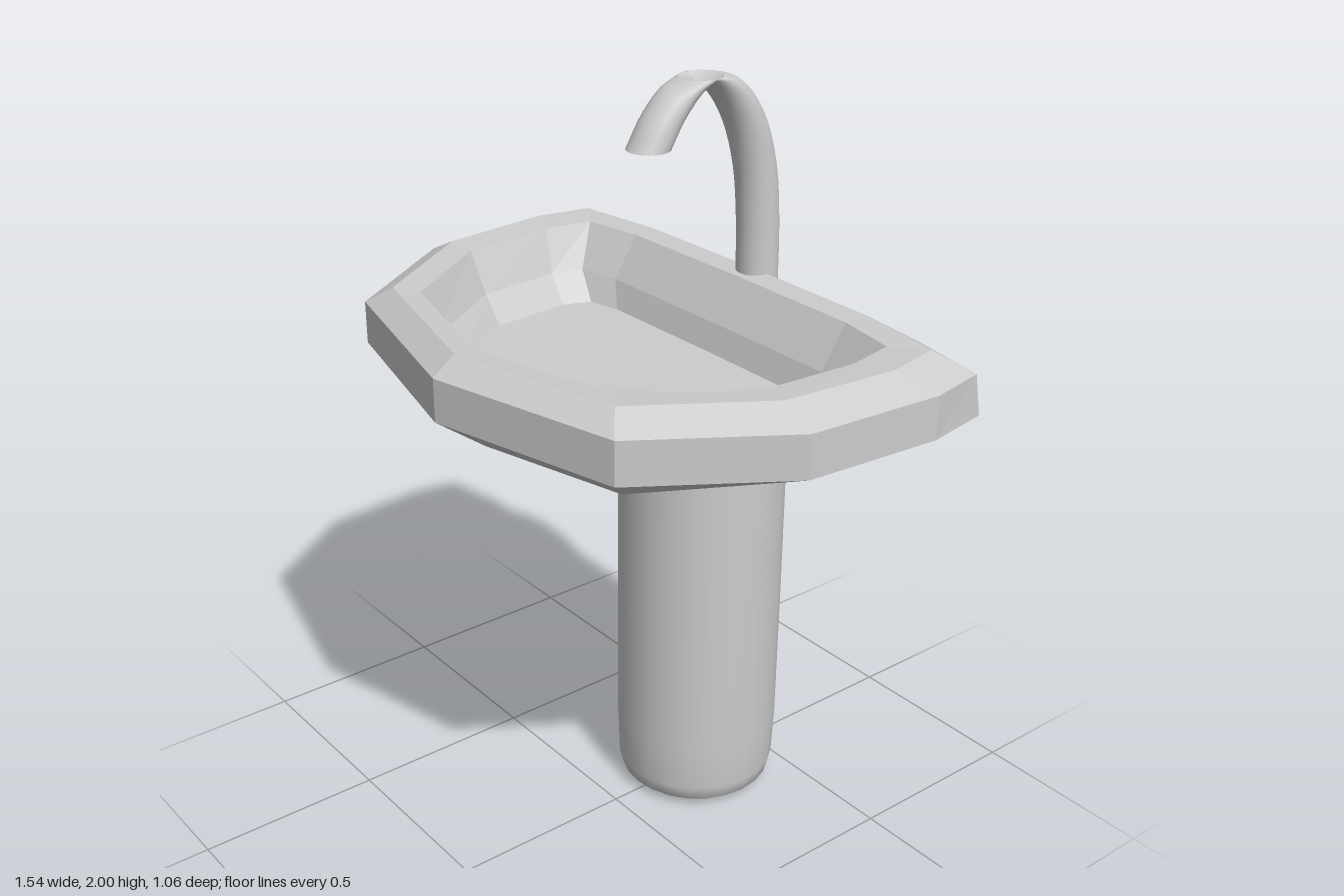
import * as THREE from 'three';

const grey = (flatShading) =>
  new THREE.MeshStandardMaterial({ color: 0xcccccc, flatShading, side: THREE.DoubleSide });

// Skin a stack of equal-length closed rings, counterclockwise seen from above.
function skin(rings) {
  const n = rings[0].length;
  const index = [];
  for (let i = 0; i < rings.length - 1; i++) {
    for (let j = 0; j < n; j++) {
      const k = (j + 1) % n;
      const a = i * n + j, b = i * n + k, c = b + n, d = a + n;
      index.push(a, b, c, a, c, d);
    }
  }
  const geo = new THREE.BufferGeometry();
  geo.setAttribute('position', new THREE.Float32BufferAttribute(rings.flat(2), 3));
  geo.setIndex(index);
  geo.computeVertexNormals();
  return geo;
}

// Half outline [x, z] from front centre to back centre, mirrored to a full ring.
function basinRing(y, half) {
  const pts = half.map(([x, z, dy = 0]) => [x, y + dy, z]);
  const mirrored = pts.slice(1, -1).reverse().map(([x, py, z]) => [-x, py, z]);
  return [...pts, ...mirrored];
}

const centre = (y, z) => basinRing(y, Array.from({ length: 7 }, () => [0, z]));

function basin() {
  const rings = [
    // underside
    centre(1.178, -0.1),
    basinRing(1.19, [[0, 0.06, -0.008], [0.13, 0.05], [0.22, -0.02], [0.26, -0.2], [0.25, -0.4], [0.2, -0.49], [0, -0.5]]),
    basinRing(1.22, [[0, 0.39], [0.42, 0.31, 0.018], [0.53, 0.04], [0.54, -0.25], [0.53, -0.45], [0.4, -0.515], [0, -0.525]]),
    // outer wall
    basinRing(1.32, [[0, 0.525], [0.51, 0.4], [0.74, 0.05], [0.77, -0.31], [0.74, -0.488], [0.52, -0.526], [0, -0.532]]),
    basinRing(1.43, [[0, 0.525], [0.51, 0.4], [0.74, 0.05], [0.77, -0.31], [0.74, -0.465], [0.52, -0.505], [0, -0.508]]),
    // rim
    basinRing(1.475, [[0, 0.465], [0.45, 0.353], [0.65, 0.045], [0.68, -0.257], [0.65, -0.407], [0.4, -0.443], [0, -0.447]]),
    basinRing(1.47, [[0, 0.41], [0.39, 0.31], [0.57, 0.04], [0.59, -0.22], [0.565, -0.35], [0.4, -0.38], [0, -0.385]]),
    // bowl
    basinRing(1.36, [[0, 0.38], [0.355, 0.285], [0.52, 0.03], [0.54, -0.2], [0.515, -0.285], [0.4, -0.31], [0, -0.312]]),
    basinRing(1.29, [[0, 0.33], [0.31, 0.25], [0.46, 0.03], [0.48, -0.19], [0.45, -0.265], [0.36, -0.285], [0, -0.288]]),
    centre(1.27, 0),
  ];
  const mesh = new THREE.Mesh(skin(rings), grey(true));
  mesh.name = 'basin';
  return mesh;
}

function pedestal() {
  const profile = [
    [0, 0.005], [0.15, 0.005], [0.185, 0.012], [0.207, 0.03], [0.217, 0.07], [0.222, 0.2],
    [0.223, 0.6], [0.222, 1.0], [0.218, 1.12], [0.208, 1.17], [0.19, 1.2], [0, 1.21],
  ].map(([r, y]) => new THREE.Vector2(r, y));
  const mesh = new THREE.Mesh(new THREE.LatheGeometry(profile, 24), grey(false));
  mesh.position.z = -0.287;
  mesh.name = 'pedestal';
  return mesh;
}

// Curved spout: level circles carried along an arch, so it thins at the apex.
function spoutHalf(name, path) {
  const curve = new THREE.CatmullRomCurve3(path.map(([y, z]) => new THREE.Vector3(0, y, z)));
  const rings = curve.getPoints(24).map((p) =>
    Array.from({ length: 20 }, (_, i) => {
      const t = (i / 20) * Math.PI * 2;
      return [0.055 * Math.sin(t), p.y, p.z + 0.055 * Math.cos(t)];
    }));
  const mesh = new THREE.Mesh(skin(rings), grey(false));
  mesh.name = name;
  return mesh;
}

function faucet() {
  const group = new THREE.Group();
  group.name = 'faucet';
  const apex = [2, -0.255];
  group.add(
    spoutHalf('risingPipe', [[1.42, -0.458], [1.6, -0.454], [1.75, -0.437], [1.87, -0.398], [1.95, -0.345], [1.99, -0.293], apex]),
    spoutHalf('spout', [[1.85, -0.097], [1.92, -0.142], [1.975, -0.198], apex]),
  );
  return group;
}

export function createModel() {
  const model = new THREE.Group();
  model.name = 'pedestalSink';
  model.add(pedestal(), basin(), faucet());
  return model;
}
